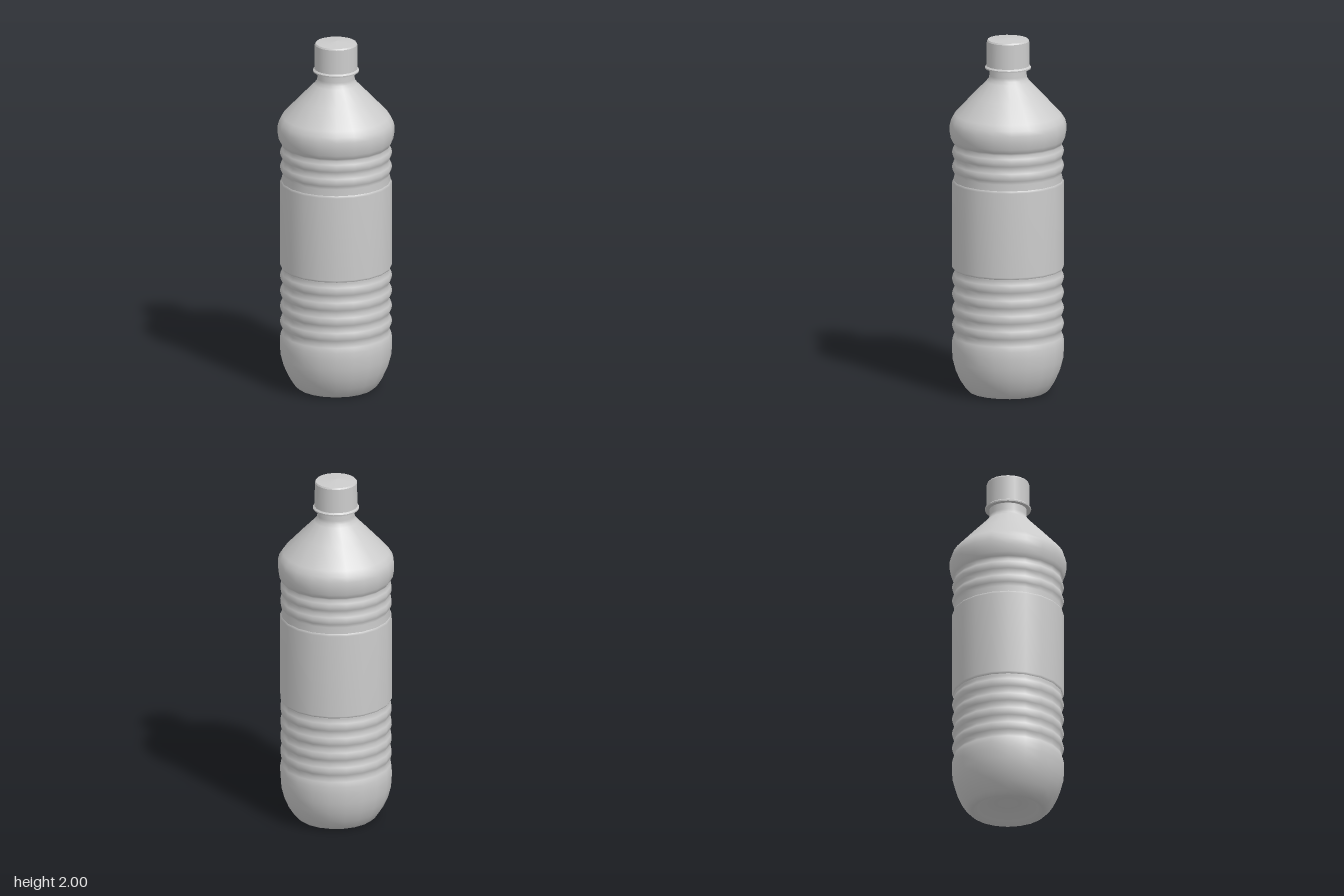
import * as THREE from 'three';

const SIDES = 20;

// Revolves [radius, height] pairs, listed from bottom to top on the outside.
function revolve(name, profile) {
  const points = profile.map(([r, y]) => new THREE.Vector2(r, y));
  const material = new THREE.MeshStandardMaterial({ color: 0xcccccc, side: THREE.DoubleSide });
  const mesh = new THREE.Mesh(new THREE.LatheGeometry(points, SIDES), material);
  mesh.name = name;
  return mesh;
}

// Rounded ribs between pinched grooves, starting and ending in a groove.
function ribs(bottom, top, count) {
  const pitch = (top - bottom) / count;
  const profile = [];
  for (let i = 0; i <= count; i++) {
    const y = bottom + i * pitch;
    profile.push([0.294, y]);
    if (i < count) {
      profile.push([0.304, y + pitch * 0.25], [0.309, y + pitch * 0.5], [0.304, y + pitch * 0.75]);
    }
  }
  return profile;
}

export function createModel() {
  const group = new THREE.Group();
  group.name = 'bottle';

  // Base with a pushed-up centre, rounded foot, ribbed body, shoulder and neck
  group.add(revolve('body', [
    [0, 0.035], [0.03, 0.04], [0.07, 0.055], [0.12, 0.045], [0.17, 0.018],
    [0.2, 0.004], [0.215, 0.008], [0.235, 0.027], [0.263, 0.07], [0.288, 0.125], [0.305, 0.19],
    [0.309, 0.25], [0.309, 0.29], [0.303, 0.32],
    ...ribs(0.34, 0.69, 4),
    [0.304, 0.71], [0.304, 1.19],
    ...ribs(1.235, 1.4, 2),
    [0.304, 1.413], [0.315, 1.435], [0.322, 1.475], [0.322, 1.51], [0.314, 1.54], [0.295, 1.57],
    [0.2, 1.672], [0.12, 1.755], [0.107, 1.772], [0.103, 1.79], [0.103, 1.85],
  ]));

  // Wrapped band around the middle
  group.add(revolve('labelBand', [[0.302, 0.7], [0.309, 0.712], [0.309, 1.188], [0.302, 1.2]]));

  // Flared ring under the cap
  group.add(revolve('neckRing', [
    [0.1, 1.828], [0.127, 1.828], [0.127, 1.828], [0.128, 1.836], [0.128, 1.836], [0.117, 1.846],
  ]));

  // Cap with a slightly domed top; repeated points keep its edges crisp
  group.add(revolve('cap', [
    [0.1, 1.842], [0.119, 1.842], [0.119, 1.842], [0.117, 1.982], [0.117, 1.982],
    [0.112, 1.99], [0.112, 1.99], [0, 2],
  ]));

  return group;
}
